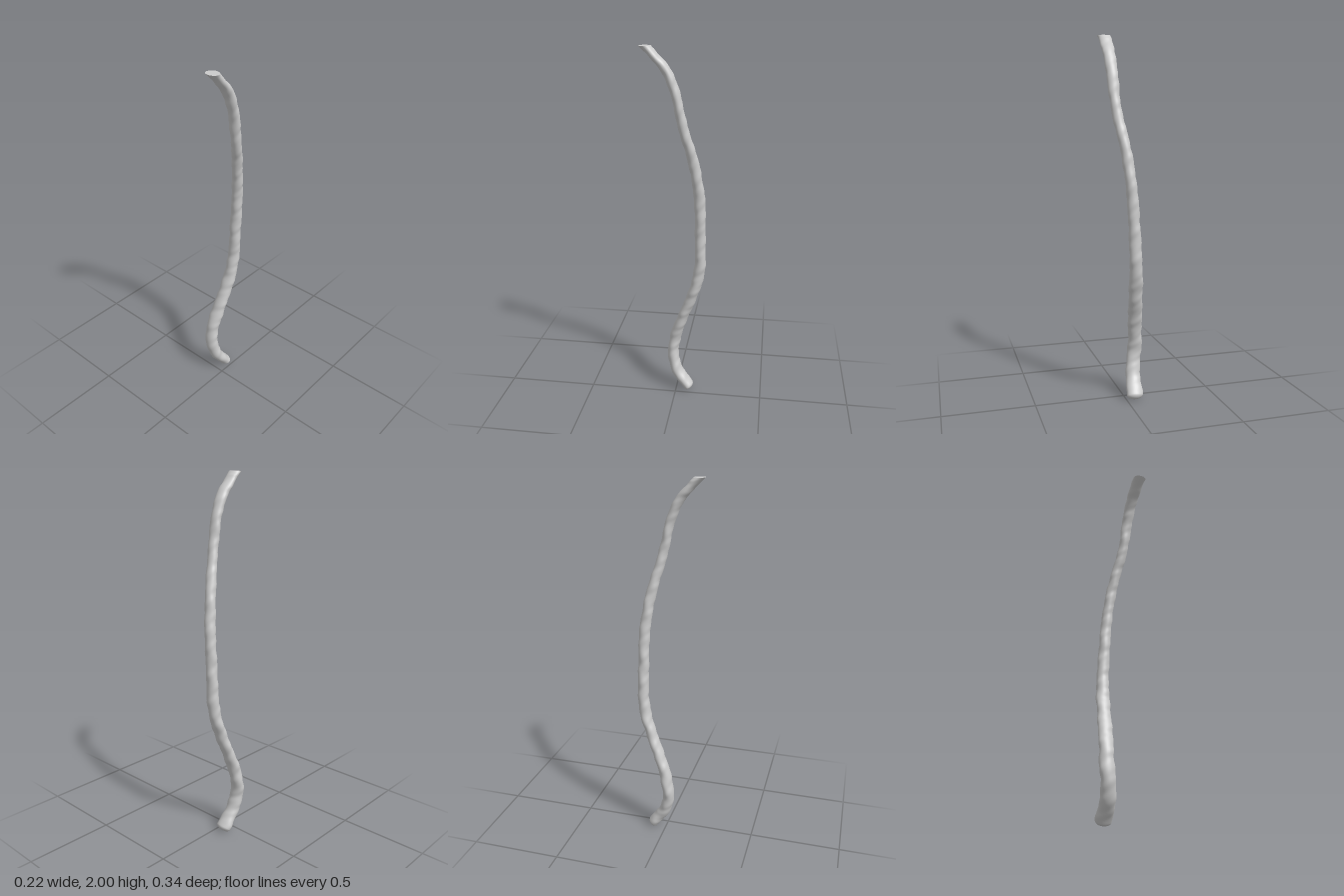
import * as THREE from 'three';

// Centre line from the blunt lower end to the cut top: x, y, z, half width, half depth
const STATIONS = [
  [-0.046, 0.012, -0.085, 0.043, 0.032],
  [-0.048, 0.05, -0.056, 0.044, 0.032],
  [-0.052, 0.11, -0.013, 0.042, 0.032],
  [-0.062, 0.20, 0.018, 0.040, 0.032],
  [-0.070, 0.30, 0.014, 0.039, 0.032],
  [-0.062, 0.40, -0.010, 0.039, 0.031],
  [-0.053, 0.50, -0.047, 0.039, 0.029],
  [-0.043, 0.60, -0.085, 0.038, 0.029],
  [-0.036, 0.70, -0.117, 0.037, 0.031],
  [-0.030, 0.80, -0.134, 0.034, 0.031],
  [-0.020, 1.00, -0.135, 0.032, 0.029],
  [-0.006, 1.20, -0.130, 0.030, 0.030],
  [0.018, 1.40, -0.100, 0.029, 0.028],
  [0.052, 1.60, -0.046, 0.028, 0.025],
  [0.064, 1.80, 0.000, 0.032, 0.024],
  [0.066, 1.90, 0.050, 0.034, 0.024],
  [0.067, 1.96, 0.105, 0.034, 0.021],
  [0.070, 2.00, 0.142, 0.039, 0.022],
];
const SIDES = 28, ROWS = 240, END_ROUND = 0.022;

// Linear blend of one station column at curve parameter t
function sample(t, column) {
  const f = t * (STATIONS.length - 1);
  const i = Math.min(Math.floor(f), STATIONS.length - 2);
  return THREE.MathUtils.lerp(STATIONS[i][column], STATIONS[i + 1][column], f - i);
}

// Gentle irregular swellings, periodic around the tube
function bump(d, a) {
  return 1 + 0.035 * Math.sin(d * 47 + 2 * Math.sin(a)) + 0.03 * Math.sin(d * 83 + a + 1)
    + 0.025 * Math.sin(d * 29 - 2 * a) + 0.015 * Math.sin(d * 131 + 3 * a);
}

// Lofted rings, with the lowest rows rounded off and the top rows turned level
function buildRings() {
  const curve = new THREE.CatmullRomCurve3(STATIONS.map(s => new THREE.Vector3(s[0], s[1], s[2])));
  curve.arcLengthDivisions = 1000;
  const length = curve.getLength();
  const distances = [];
  for (let i = 0; i < 8; i++) distances.push(END_ROUND * (1 - Math.cos(i / 8 * Math.PI / 2)));
  for (let i = 0; i <= ROWS; i++) distances.push(THREE.MathUtils.lerp(END_ROUND, length, i / ROWS));

  return distances.map(d => {
    const u = d / length, t = curve.getUtoTmapping(u);
    const centre = curve.getPointAt(u), tangent = curve.getTangentAt(u);
    const side = new THREE.Vector3(1, 0, 0).addScaledVector(tangent, -tangent.x).normalize();
    const front = new THREE.Vector3().crossVectors(side, tangent);
    const round = d < END_ROUND ? Math.sqrt(1 - (1 - d / END_ROUND) ** 2) : 1;
    const level = THREE.MathUtils.smoothstep(d, length - 0.06, length);
    const ring = [];
    for (let j = 0; j < SIDES; j++) {
      const a = j / SIDES * Math.PI * 2, r = round * bump(d, a);
      const p = centre.clone()
        .addScaledVector(side, Math.cos(a) * r * sample(t, 3))
        .addScaledVector(front, Math.sin(a) * r * sample(t, 4));
      p.addScaledVector(tangent, level * (centre.y - p.y) / tangent.y);
      p.y = Math.max(0, p.y);
      ring.push(p);
    }
    return ring;
  });
}

function makeGeometry(points, index) {
  const g = new THREE.BufferGeometry().setFromPoints(points);
  g.setIndex(index);
  g.computeVertexNormals();
  return g;
}

export function createModel() {
  const group = new THREE.Group();
  group.name = 'windingTube';
  const material = new THREE.MeshStandardMaterial({ color: 0xcccccc, roughness: 0.8 });
  const rings = buildRings();

  // Tube wall, including the closed lower end
  const index = [];
  for (let i = 0; i < rings.length - 1; i++) {
    for (let j = 0; j < SIDES; j++) {
      const k = (j + 1) % SIDES;
      const a = i * SIDES + j, b = i * SIDES + k;
      if (i > 0) index.push(a, b + SIDES, b);
      index.push(a, a + SIDES, b + SIDES);
    }
  }
  const wall = new THREE.Mesh(makeGeometry(rings.flat(), index), material);
  wall.name = 'tubeWall';
  group.add(wall);

  // Flat cut face at the top
  const rim = rings[rings.length - 1];
  const middle = rim.reduce((sum, p) => sum.add(p), new THREE.Vector3()).divideScalar(SIDES);
  const fan = [];
  for (let j = 0; j < SIDES; j++) fan.push(SIDES, (j + 1) % SIDES, j);
  const cap = new THREE.Mesh(makeGeometry([...rim, middle], fan), material);
  cap.name = 'topCutFace';
  group.add(cap);

  return group;
}
